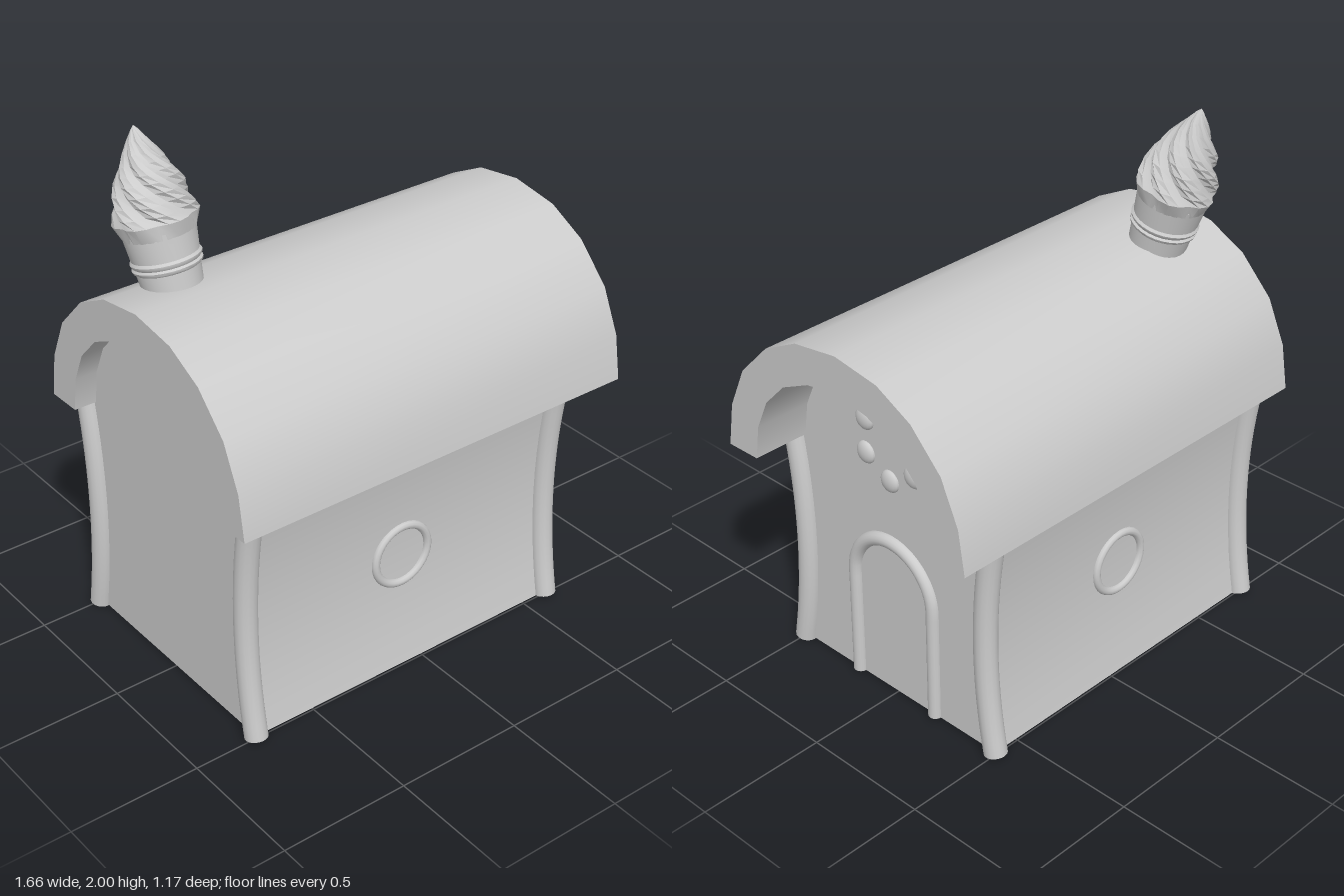
import * as THREE from 'three';
import { mergeGeometries, toCreasedNormals } from 'three/addons/utils/BufferGeometryUtils.js';

const grey = new THREE.MeshStandardMaterial({ color: 0xcccccc });
const greyDouble = new THREE.MeshStandardMaterial({ color: 0xcccccc, side: THREE.DoubleSide });
const V3 = (x, y, z) => new THREE.Vector3(x, y, z);
const V2 = (x, y) => new THREE.Vector2(x, y);

// end walls sit at these x positions
const BACK = -0.748, FRONT = 0.607, MID = (BACK + FRONT) / 2;

// right half of an arch [z, y] from eave to ridge -> full arch from +z to -z
const mirrorArch = half => [
  ...half.map(([z, y]) => V2(z, y)),
  ...half.slice(0, -1).reverse().map(([z, y]) => V2(-z, y)),
];
const outerHalf = [[0.584, 0.913], [0.557, 1.085], [0.483, 1.25], [0.35, 1.387], [0.196, 1.466], [0, 1.495]];
const innerHalf = [[0.44, 0.915], [0.42, 1.05], [0.366, 1.17], [0.27, 1.27], [0.143, 1.33], [0, 1.355]];

// concave side line shared by walls and posts
const sideLine = new THREE.QuadraticBezierCurve(V2(0.498, 0.01), V2(0.41, 0.46), V2(0.493, 0.91));

function add(parent, name, geometry, material = grey) {
  const mesh = new THREE.Mesh(geometry, material);
  mesh.name = name;
  parent.add(mesh);
  return mesh;
}

// round bar along a curve with closed ends
function cappedTube(curve, radius, steps) {
  const parts = [new THREE.TubeGeometry(curve, steps, radius, 16)];
  for (const t of [0, 1]) {
    const dir = curve.getTangent(t).multiplyScalar(t ? 1 : -1);
    const cap = new THREE.CircleGeometry(radius, 16);
    cap.applyQuaternion(new THREE.Quaternion().setFromUnitVectors(V3(0, 0, 1), dir));
    const p = curve.getPoint(t);
    parts.push(cap.translate(p.x, p.y, p.z));
  }
  return mergeGeometries(parts);
}

function makeRoof(group) {
  const shape = new THREE.Shape([...mirrorArch(outerHalf), ...mirrorArch(innerHalf).reverse()]);
  const geo = new THREE.ExtrudeGeometry(shape, { depth: 1.665, bevelEnabled: false });
  geo.rotateY(Math.PI / 2).translate(-0.835, 0, 0);
  add(group, 'roof', toCreasedNormals(geo, 0.6));
}

function makeWalls(group) {
  // profile: up one side, over the arch (tucked into the roof), down the other
  const half = [
    ...sideLine.getPoints(10).map(p => [p.x, p.y]),
    ...innerHalf.slice(1).map(([z, y]) => [z * 1.06, y + 0.02]),
  ];
  const profile = mirrorArch(half);
  const pos = [], index = [];
  profile.forEach((p, i) => {
    pos.push(BACK, p.y, p.x, FRONT, p.y, p.x);
    const a = 2 * i;
    if (i < profile.length - 1) index.push(a, a + 1, a + 3, a, a + 3, a + 2);
  });
  const shell = new THREE.BufferGeometry();
  shell.setAttribute('position', new THREE.Float32BufferAttribute(pos, 3));
  shell.setIndex(index);
  shell.computeVertexNormals();
  add(group, 'sideWalls', shell, greyDouble);

  const end = new THREE.ShapeGeometry(new THREE.Shape(profile));
  const doorWall = add(group, 'doorWall', end, greyDouble);
  doorWall.rotation.y = Math.PI / 2;
  doorWall.position.x = FRONT;
  const backWall = add(group, 'backWall', end, greyDouble);
  backWall.rotation.y = -Math.PI / 2;
  backWall.position.x = BACK;
}

function makePosts(group) {
  for (const x of [BACK, FRONT]) {
    for (const s of [1, -1]) {
      const curve = new THREE.CatmullRomCurve3(sideLine.getPoints(8).map(p => V3(x, p.y, s * p.x)));
      add(group, 'cornerPost', cappedTube(curve, 0.043, 16));
    }
  }
}

function makeDoorAndWindows(group) {
  // arched door frame
  const r = 0.197, spring = 0.463, pts = [];
  for (let i = 0; i < 8; i++) pts.push(V3(FRONT, 0.01 + (spring - 0.01) * i / 8, r));
  for (let i = 0; i <= 16; i++) {
    const a = Math.PI * i / 16;
    pts.push(V3(FRONT, spring + r * Math.sin(a), r * Math.cos(a)));
  }
  for (let i = 7; i >= 0; i--) pts.push(V3(FRONT, 0.01 + (spring - 0.01) * i / 8, -r));
  add(group, 'doorFrame', cappedTube(new THREE.CatmullRomCurve3(pts), 0.027, 64));

  // round window ring on each long wall
  for (const s of [1, -1]) {
    const ring = add(group, 'windowRing', new THREE.TorusGeometry(0.118, 0.016, 10, 32));
    ring.position.set(MID, 0.462, s * 0.455);
  }

  // circle of buttons over the door
  for (let i = 0; i < 6; i++) {
    const a = Math.PI / 2 + i * Math.PI / 3;
    const button = add(group, 'button', new THREE.SphereGeometry(0.043, 16, 12));
    button.scale.x = 0.5;
    button.position.set(FRONT, 1.05 + 0.135 * Math.sin(a), 0.135 * Math.cos(a));
  }
}

function makeChimney(group) {
  const chimney = new THREE.Group();
  chimney.name = 'chimney';
  chimney.position.set(-0.586, 1.477, -0.16);
  chimney.rotation.set(-0.262, 0, 0.06);
  group.add(chimney);

  // cup with a double band
  const cup = [[0, -0.05], [0.104, -0.05], [0.113, 0.045], [0.122, 0.052], [0.124, 0.06], [0.117, 0.067],
    [0.124, 0.075], [0.126, 0.083], [0.119, 0.092], [0.13, 0.19], [0, 0.19]];
  const cupGeo = new THREE.LatheGeometry(cup.map(p => V2(...p)), 28);
  add(chimney, 'cup', toCreasedNormals(cupGeo, 0.7));

  // twisted swirl: six lobes turning as they rise
  const swirl = [[0, 0.17], [0.128, 0.17], [0.152, 0.225], [0.148, 0.255], [0.138, 0.29], [0.128, 0.325],
    [0.115, 0.36], [0.1, 0.39], [0.082, 0.42], [0.06, 0.455], [0.036, 0.495], [0.014, 0.527], [0, 0.542]];
  const geo = new THREE.LatheGeometry(swirl.map(p => V2(...p)), 24);
  const pos = geo.attributes.position;
  for (let i = 0; i < pos.count; i++) {
    const x = pos.getX(i), y = pos.getY(i), z = pos.getZ(i);
    const a = Math.atan2(z, x);
    const grow = THREE.MathUtils.smoothstep(y, 0.17, 0.27);
    const r = Math.hypot(x, z) * (1 - 0.2 * grow * (1 - Math.abs(Math.sin(3 * a))));
    const turned = a + 9 * Math.max(0, y - 0.225);
    pos.setXYZ(i, r * Math.cos(turned), y, r * Math.sin(turned));
  }
  add(chimney, 'swirl', toCreasedNormals(geo, 0.5));
}

export function createModel() {
  const group = new THREE.Group();
  group.name = 'cottage';
  makeRoof(group);
  makeWalls(group);
  makePosts(group);
  makeDoorAndWindows(group);
  makeChimney(group);
  return group;
}
